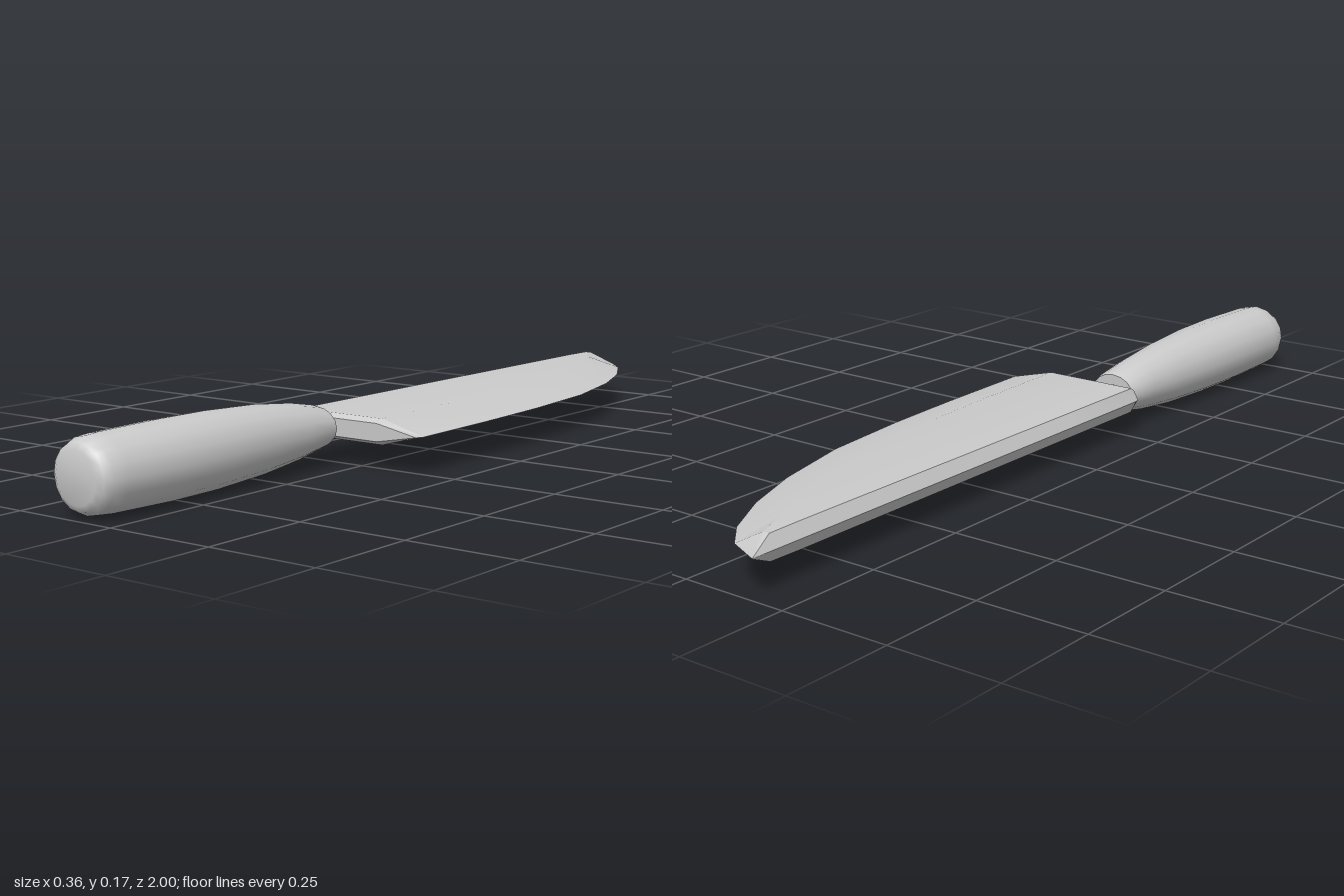
import * as THREE from 'three';
import { toCreasedNormals } from 'three/addons/utils/BufferGeometryUtils.js';

const Y = 0.085; // height of the knife's mid-plane

// Skin a list of equal-length rings (arrays of [x, y, z]) and close both ends.
// Rings run counter-clockwise seen from +z and are listed from +z to -z.
function loft(rings, crease) {
  const n = rings[0].length, pos = [], idx = [];
  rings.forEach(r => r.forEach(p => pos.push(...p)));
  for (let i = 0; i < rings.length - 1; i++) {
    for (let j = 0; j < n; j++) {
      const a = i * n + j, b = i * n + (j + 1) % n;
      idx.push(a, a + n, b, b, a + n, b + n);
    }
  }
  const last = (rings.length - 1) * n;
  for (let j = 1; j < n - 1; j++) {
    idx.push(0, j, j + 1, last, last + j + 1, last + j);
  }
  const g = new THREE.BufferGeometry();
  g.setAttribute('position', new THREE.Float32BufferAttribute(pos, 3));
  g.setIndex(idx);
  return toCreasedNormals(g, crease);
}

// Elliptical ring facing along z
function ellipse([z, cx, rx, ry], sides = 16) {
  return Array.from({ length: sides }, (_, i) => {
    const a = (i / sides) * Math.PI * 2;
    return [cx + rx * Math.cos(a), Y + ry * Math.sin(a), z];
  });
}

// Blade section: spine ridge, two flat sides, bevel down to the cutting edge
function bladeRing([z, spine, shoulder, bevel, edge, t, flatZ = z]) {
  return [
    [edge, Y, z],
    [bevel, Y + t, flatZ],
    [shoulder, Y + t, flatZ],
    [spine, Y, z],
    [shoulder, Y - t, flatZ],
    [bevel, Y - t, flatZ],
  ];
}

export function createModel() {
  const group = new THREE.Group();
  const material = new THREE.MeshStandardMaterial({ color: 0xcccccc });
  const add = (name, geometry) => {
    const mesh = new THREE.Mesh(geometry, material);
    mesh.name = name;
    group.add(mesh);
  };

  // Handle: z, centre x, half width, half height
  add('handle', loft([
    [1.0, -0.09, 0.055, 0.055],
    [0.993, -0.089, 0.069, 0.069],
    [0.975, -0.088, 0.077, 0.078],
    [0.94, -0.087, 0.081, 0.081],
    [0.78, -0.086, 0.085, 0.084],
    [0.65, -0.087, 0.082, 0.083],
    [0.5, -0.09, 0.073, 0.076],
    [0.38, -0.092, 0.065, 0.063],
    [0.305, -0.094, 0.060, 0.049],
    [0.29, -0.094, 0.057, 0.044],
  ].map(r => ellipse(r)), 0.9));

  // Neck joining handle and blade
  add('neck', loft([
    [0.3, -0.094, 0.044, 0.02],
    [0.26, -0.094, 0.044, 0.02],
  ].map(r => ellipse(r, 12)), 0.7));

  // Blade: z, spine x, shoulder x, bevel x, edge x, half thickness, z of flats
  add('blade', loft([
    [0.277, -0.175, -0.163, 0.062, 0.168, 0.02],
    [0.262, -0.18, -0.165, 0.066, 0.177, 0.029],
    [0.0, -0.18, -0.165, 0.058, 0.170, 0.029],
    [-0.2, -0.18, -0.165, 0.046, 0.160, 0.029],
    [-0.43, -0.18, -0.165, 0.022, 0.137, 0.029, -0.42],
    [-0.63, -0.18, -0.165, -0.02, 0.088, 0.029, -0.6],
    [-0.78, -0.18, -0.165, -0.065, 0.03, 0.029, -0.74],
    [-0.9, -0.18, -0.165, -0.115, -0.038, 0.029, -0.86],
    [-0.965, -0.18, -0.165, -0.15, -0.098, 0.028, -0.94],
    [-1.0, -0.18, -0.18, -0.18, -0.178, 0.001],
  ].map(bladeRing), 0.35));

  return group;
}
